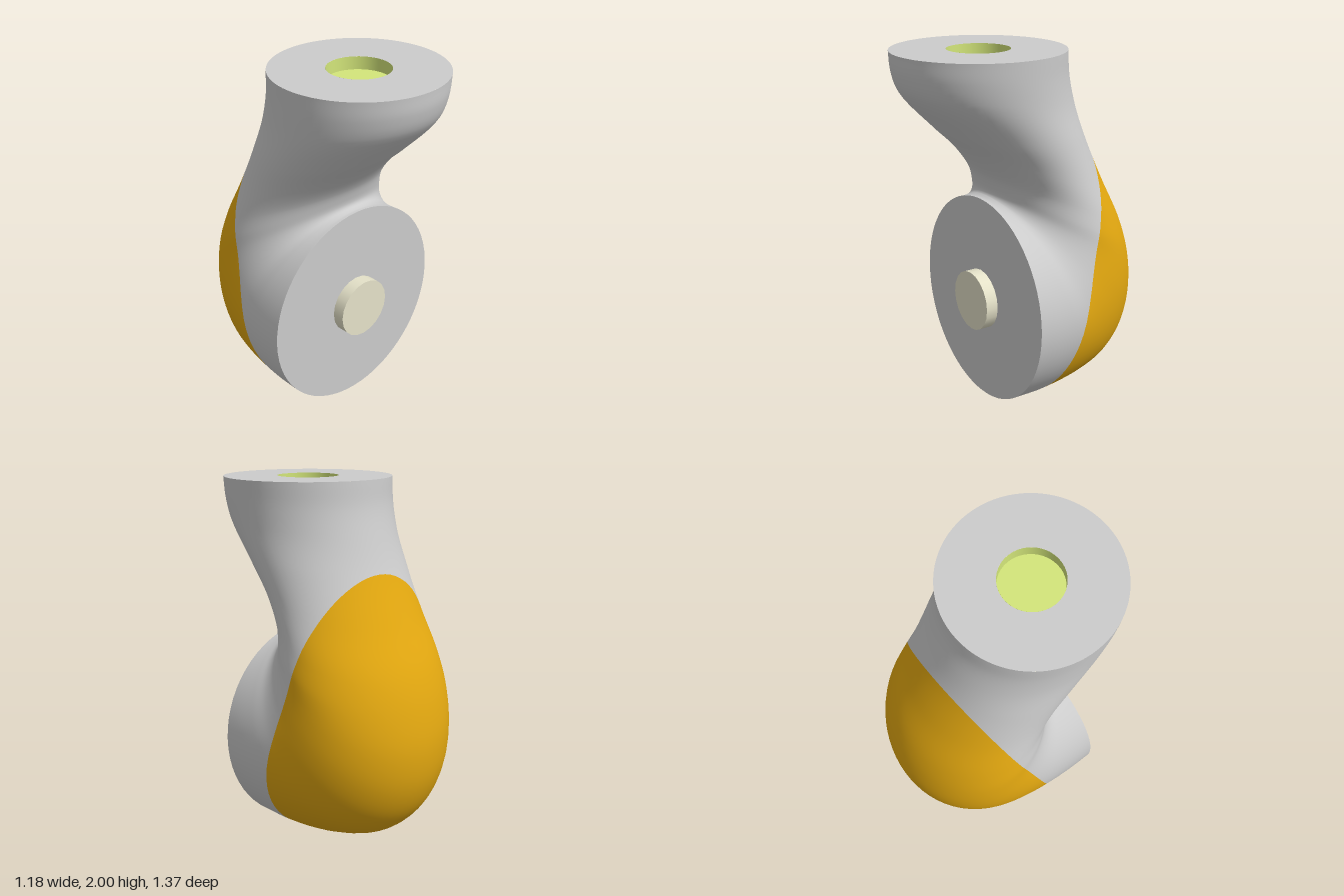
import * as THREE from 'three';

// Cross-sections from the top flange to the front flange:
// inner (y, z), outer (y, z), half width
const SECTIONS = [
  [2.0, 0.687, 2.0, -0.247, 0.467],
  [1.9, 0.68, 1.86, -0.26, 0.46],
  [1.79, 0.64, 1.7, -0.3, 0.452],
  [1.59, 0.45, 1.52, -0.36, 0.447],
  [1.45, 0.3, 1.25, -0.48, 0.445],
  [1.32, 0.2, 1.0, -0.6, 0.465],
  [1.25, 0.175, 0.8, -0.66, 0.488],
  [1.22, 0.17, 0.6, -0.685, 0.5],
  [1.205, 0.172, 0.4, -0.66, 0.515],
  [1.195, 0.178, 0.23, -0.58, 0.53],
  [1.19, 0.185, 0.11, -0.45, 0.545],
  [1.185, 0.195, 0.04, -0.25, 0.565],
  [1.182, 0.205, 0.005, 0.0, 0.58],
  [1.181, 0.22, 0.005, 0.22, 0.588],
];
const COLS = 64, ROWS = (SECTIONS.length - 1) * 6;
const FLANGE_Z = 0.22, FLANGE_Y = 0.593, FLANGE_R = 0.588;
const TOP_R = 0.467, PIN_R = 0.17, PIN_DEPTH = 0.07;

// Smooth elbow lofted through elliptical cross-sections
function elbowGeometry() {
  const inner = new THREE.CatmullRomCurve3(SECTIONS.map(s => new THREE.Vector3(s[4], s[0], s[1])));
  const outer = new THREE.CatmullRomCurve3(SECTIONS.map(s => new THREE.Vector3(s[4], s[2], s[3])));
  const pos = [], index = [];
  for (let i = 0; i <= ROWS; i++) {
    const a = inner.getPoint(i / ROWS), b = outer.getPoint(i / ROWS);
    const w = (a.x + b.x) / 2;
    for (let j = 0; j < COLS; j++) {
      const t = (j / COLS) * Math.PI * 2, k = (1 + Math.cos(t)) / 2;
      pos.push(w * Math.sin(t), b.y + (a.y - b.y) * k, b.z + (a.z - b.z) * k);
      if (i === ROWS) continue;
      const p = i * COLS + j, q = i * COLS + (j + 1) % COLS;
      index.push(p, p + COLS, q, q, p + COLS, q + COLS);
    }
  }
  const g = new THREE.BufferGeometry();
  g.setAttribute('position', new THREE.Float32BufferAttribute(pos, 3));
  g.setIndex(index);
  g.computeVertexNormals();
  return g;
}

// Keep the part of a geometry on the positive side of a plane
function clip(geometry, plane) {
  const P = geometry.attributes.position, N = geometry.attributes.normal, idx = geometry.index;
  const pos = [], nor = [];
  for (let f = 0; f < idx.count; f += 3) {
    const tri = [0, 1, 2].map(k => {
      const p = new THREE.Vector3().fromBufferAttribute(P, idx.getX(f + k));
      const n = new THREE.Vector3().fromBufferAttribute(N, idx.getX(f + k));
      return { p, n, d: plane.distanceToPoint(p) };
    });
    const poly = [];
    tri.forEach((a, k) => {
      const b = tri[(k + 1) % 3];
      if (a.d >= 0) poly.push(a);
      if ((a.d >= 0) !== (b.d >= 0)) {
        const t = a.d / (a.d - b.d);
        poly.push({ p: a.p.clone().lerp(b.p, t), n: a.n.clone().lerp(b.n, t).normalize() });
      }
    });
    for (let k = 1; k + 1 < poly.length; k++) {
      for (const v of [poly[0], poly[k], poly[k + 1]]) {
        pos.push(...v.p.toArray());
        nor.push(...v.n.toArray());
      }
    }
  }
  const g = new THREE.BufferGeometry();
  g.setAttribute('position', new THREE.Float32BufferAttribute(pos, 3));
  g.setAttribute('normal', new THREE.Float32BufferAttribute(nor, 3));
  return g;
}

export function createModel() {
  const group = new THREE.Group();
  const material = color => new THREE.MeshStandardMaterial({ color });
  const grey = material(0xcccccc), orange = material(0xe3a810);
  const beige = material(0xe5e2c9), green = material(0xd3e67a);
  const add = (name, geometry, mat, x = 0, y = 0, z = 0) => {
    const mesh = new THREE.Mesh(geometry, mat);
    mesh.name = name;
    mesh.position.set(x, y, z);
    group.add(mesh);
    return mesh;
  };

  // Elbow shell, divided by a slanted plane into grey body and coloured back cover
  const elbow = elbowGeometry();
  const cut = new THREE.Plane().setFromNormalAndCoplanarPoint(
    new THREE.Vector3(0, -0.41, -1.52).normalize(), new THREE.Vector3(0, 0, 0.05));
  add('backCover', clip(elbow, cut), orange);
  add('elbowBody', clip(elbow, cut.clone().negate()), grey);

  // Front flange and its pin
  add('frontFlange', new THREE.CircleGeometry(FLANGE_R, COLS), grey, 0, FLANGE_Y, FLANGE_Z);
  add('frontPin', new THREE.CylinderGeometry(PIN_R, PIN_R, PIN_DEPTH, 20), beige,
    0, FLANGE_Y, FLANGE_Z + PIN_DEPTH / 2).rotation.x = Math.PI / 2;

  // Top flange with a shallow round socket
  const ring = new THREE.Shape().absarc(0, 0, TOP_R, 0, Math.PI * 2);
  ring.holes.push(new THREE.Path().absarc(0, 0, PIN_R, 0, Math.PI * 2, true));
  add('topFlange', new THREE.ShapeGeometry(ring, 40), grey, 0, 2, FLANGE_Z).rotation.x = -Math.PI / 2;
  const wall = green.clone();
  wall.side = THREE.DoubleSide;
  add('socketWall', new THREE.CylinderGeometry(PIN_R, PIN_R, PIN_DEPTH, 40, 1, true), wall,
    0, 2 - PIN_DEPTH / 2, FLANGE_Z);
  add('socketFloor', new THREE.CircleGeometry(PIN_R, 40), green,
    0, 2 - PIN_DEPTH, FLANGE_Z).rotation.x = -Math.PI / 2;

  return group;
}
